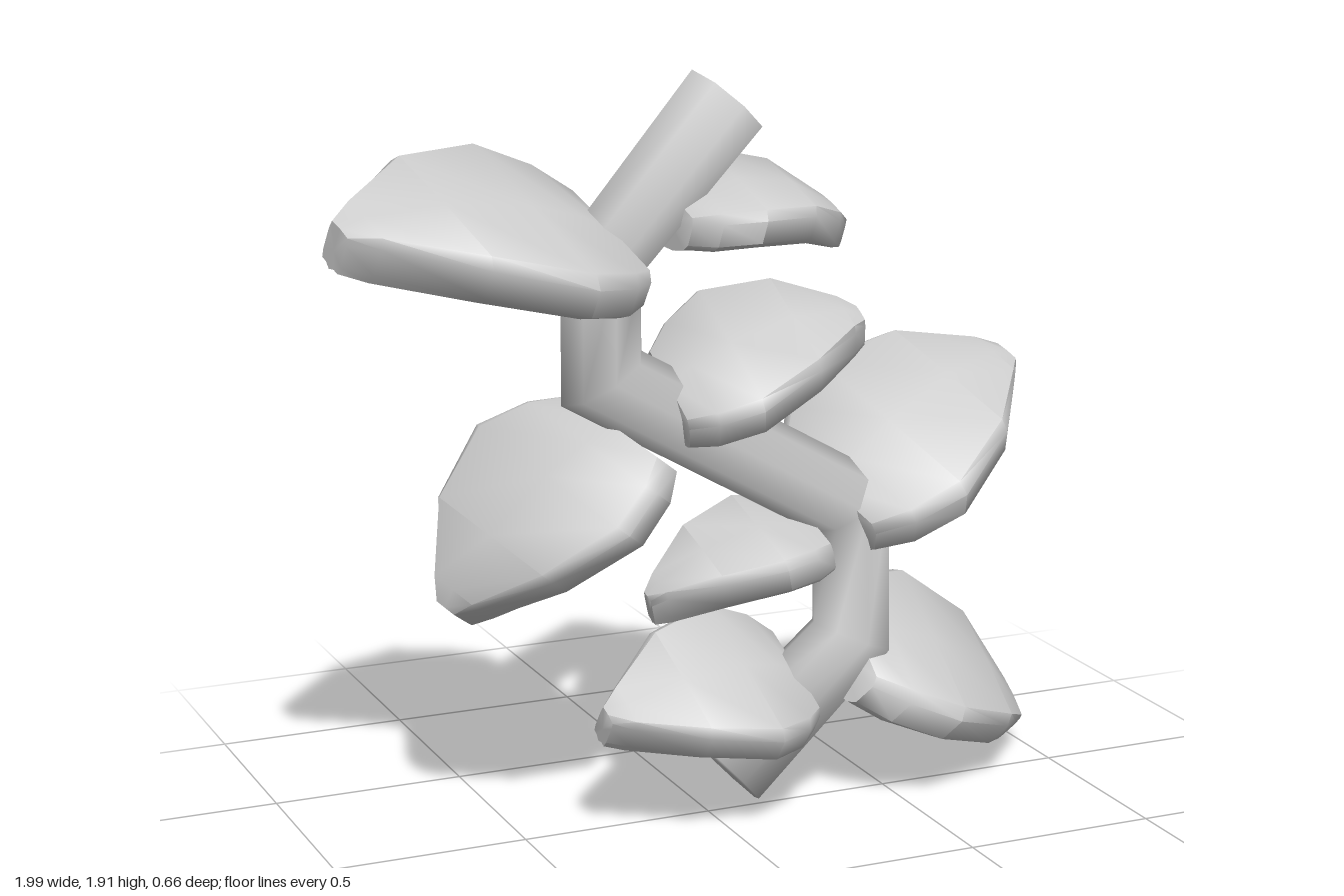
import * as THREE from 'three';
import { toCreasedNormals } from 'three/addons/utils/BufferGeometryUtils.js';

const V = (x, y, z) => new THREE.Vector3(x, y, z);
const material = new THREE.MeshStandardMaterial({ color: 0xcccccc });

// Skin a row of equal-length rings and close both ends
function loft(name, rings, crease) {
  const n = rings[0].length, pos = [], idx = [];
  const add = p => pos.push(p.x, p.y, p.z) / 3 - 1;
  rings.forEach(r => r.forEach(add));
  for (let k = 0; k < rings.length - 1; k++) {
    for (let i = 0; i < n; i++) {
      const a = k * n + i, b = k * n + (i + 1) % n;
      idx.push(a, b, b + n, a, b + n, a + n);
    }
  }
  [0, rings.length - 1].forEach(k => {
    const c = add(rings[k].reduce((s, p) => s.add(p), V(0, 0, 0)).divideScalar(n));
    for (let i = 0; i < n; i++) {
      const a = k * n + i, b = k * n + (i + 1) % n;
      if (k) idx.push(c, a, b); else idx.push(c, b, a);
    }
  });
  const g = new THREE.BufferGeometry();
  g.setAttribute('position', new THREE.Float32BufferAttribute(pos, 3));
  g.setIndex(idx);
  const mesh = new THREE.Mesh(toCreasedNormals(g, crease), material);
  mesh.name = name;
  return mesh;
}

// Zigzag stem with mitred bends, nodes are x, y, z, radius
function makeStem() {
  const nodes = [
    [0.05, 0.12, 0, 0.118], [0.4, 0.44, 0.005, 0.106], [0.395, 0.79, 0.005, 0.106],
    [-0.285, 1.18, 0, 0.105], [-0.28, 1.47, -0.01, 0.106], [0.055, 1.84, -0.02, 0.12],
  ];
  const pts = nodes.map(p => new THREE.Vector2(p[0], p[1]));
  const dir = i => pts[i + 1].clone().sub(pts[i]).normalize();
  const rings = nodes.map(([x, y, z, r], i) => {
    const d0 = dir(Math.max(i - 1, 0)), d1 = dir(Math.min(i, pts.length - 2));
    const t = d0.clone().add(d1).normalize();
    const m = r / t.dot(d1);
    return Array.from({ length: 8 }, (_, k) => {
      const a = (k / 8) * Math.PI * 2;
      return V(x - t.y * m * Math.cos(a), y + t.x * m * Math.cos(a), z + r * 0.95 * Math.sin(a));
    });
  });
  return loft('stem', rings, 1.8);
}

// Leaf stations: position along, relative half width, relative thickness
const STATIONS = [[0, 0.62, 0.85], [0.12, 0.84, 1], [0.32, 1, 1], [0.65, 0.76, 1], [0.92, 0.28, 0.95], [1, 0.13, 0.75]];
// Flat-topped section with a rounded keel below: across, thickness
const SECTION = [[-1, 0.6], [-0.9, 1], [0, 1.05], [0.9, 1], [1, 0.6], [1, -0.5], [0.88, -0.9], [0.45, -1.5], [0, -1.8], [-0.45, -1.5], [-0.88, -0.9], [-1, -0.5]];

// Thick arched leaf from base to tip; wide points to its front edge
function makeLeaf({ name, base, tip, wide, arch, half }) {
  const B = V(...base), T = V(...tip);
  const W = V(...wide).multiplyScalar(Math.sign(T.x - B.x));
  const N = W.clone().cross(T.clone().sub(B)).normalize();
  const rings = STATIONS.map(([u, w, h]) => {
    const c = B.clone().lerp(T, u).addScaledVector(N, arch * Math.sin(Math.PI * u));
    // The keel fades out towards the tip
    const keel = 1 - 0.4 * u * u;
    return SECTION.map(([a, b]) => c.clone().addScaledVector(W, a * w)
      .addScaledVector(N, (b < -1 ? b * keel : b) * h * half));
  });
  return loft(name, rings, 0.95);
}

const LEAVES = [
  { name: 'topLeftSideLeaf', base: [-0.28, 1.5, 0.01], tip: [-0.98, 1.57, 0.09], wide: [0.07, -0.135, 0.27], arch: 0.06, half: 0.07 },
  { name: 'topSmallLeaf', base: [-0.1, 1.57, -0.01], tip: [0.36, 1.5, -0.01], wide: [0, -0.055, 0.21], arch: 0.07, half: 0.053 },
  { name: 'middleSmallLeaf', base: [-0.11, 1.11, 0.01], tip: [0.42, 1.25, 0], wide: [0, -0.11, 0.21], arch: 0.06, half: 0.06 },
  { name: 'middleLargeLeaf', base: [0.34, 0.8, -0.02], tip: [0.95, 1.065, -0.2], wide: [0.1, -0.13, 0.25], arch: 0.08, half: 0.065 },
  { name: 'bottomLargeLeaf', base: [0.39, 0.4, -0.02], tip: [0.97, 0.06, -0.2], wide: [-0.03, -0.13, 0.26], arch: 0.09, half: 0.065 },
  { name: 'hangingLeaf', base: [-0.22, 1.03, -0.02], tip: [-0.63, 0.585, -0.13], wide: [0.1, -0.09, 0.26], arch: 0.06, half: 0.06 },
  { name: 'lowerSmallLeaf', base: [0.3, 0.71, 0], tip: [-0.16, 0.575, 0], wide: [0, -0.05, 0.18], arch: 0.06, half: 0.053 },
  { name: 'bottomSideLeaf', base: [0.23, 0.33, 0], tip: [-0.32, 0.31, 0.08], wide: [0.03, -0.13, 0.19], arch: 0.07, half: 0.063 },
];

export function createModel() {
  const group = new THREE.Group();
  group.name = 'leafyVine';
  group.add(makeStem(), ...LEAVES.map(makeLeaf));
  return group;
}
